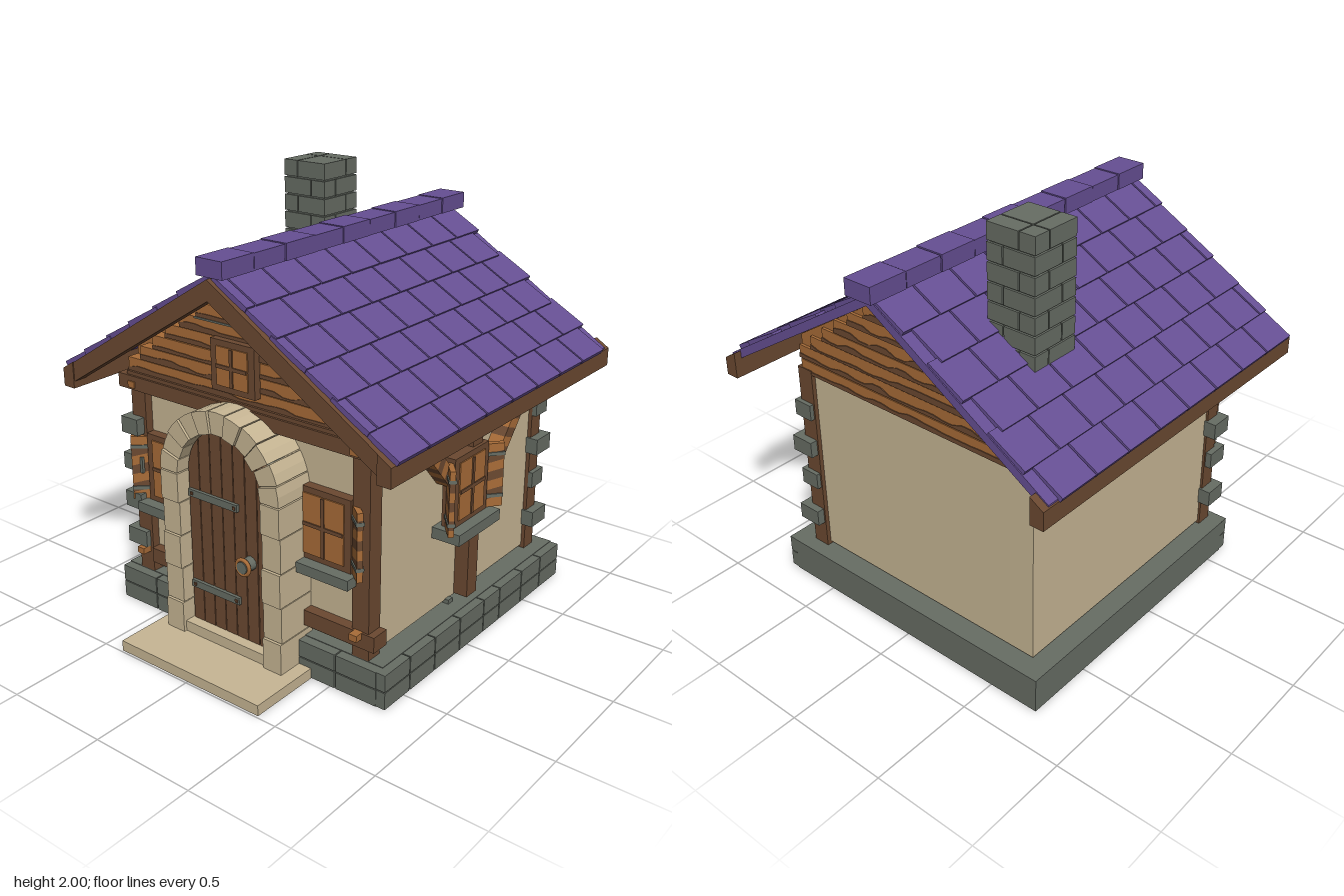
import * as THREE from 'three';

const mat = (name, color, side = THREE.FrontSide) => {
  const m = new THREE.MeshStandardMaterial({ color, side });
  m.name = name;
  return m;
};

export function createModel() {
  const house = new THREE.Group();
  house.name = 'cottage';
  const purple = mat('roofPurple', 0x664f93), beige = mat('plaster', 0xc7b694), brown = mat('darkWood', 0x6b4931);
  const orange = mat('lightWood', 0xa86c38), grey = mat('stone', 0x676d64);

  let seed = 7;
  const rnd = () => (seed = (seed * 16807) % 2147483647) / 2147483647;

  const group = (parent, name) => {
    const g = new THREE.Group();
    g.name = name;
    parent.add(g);
    return g;
  };
  const add = (parent, name, geo, m) => {
    const mesh = new THREE.Mesh(geo, m);
    mesh.name = name;
    parent.add(mesh);
    return mesh;
  };
  // box given by its extents along each axis
  const box = (parent, name, m, x0, x1, y0, y1, z0, z1) => {
    const mesh = add(parent, name, new THREE.BoxGeometry(x1 - x0, y1 - y0, z1 - z0), m);
    mesh.position.set((x0 + x1) / 2, (y0 + y1) / 2, (z0 + z1) / 2);
    return mesh;
  };
  // polygon in x/y extruded between two z values
  const prism = (parent, name, m, pts, z0, z1) => {
    const shape = new THREE.Shape(pts.map(p => new THREE.Vector2(...p)));
    const mesh = add(parent, name, new THREE.ExtrudeGeometry(shape, { depth: z1 - z0, bevelEnabled: false }), m);
    mesh.position.z = z0;
    return mesh;
  };
  // board of alternating slanted light and dark bands, centred, running along y
  const bandedBoard = (parent, name, w, len, d, bands) => {
    const g = group(parent, name), h = len / bands, k = h * 0.25;
    for (let i = 0; i < bands; i++) {
      const a = -len / 2 + i * h, b = a + h, lo = i ? k : 0, hi = i < bands - 1 ? k : 0;
      prism(g, 'band', i % 2 ? brown : orange,
        [[-w / 2, a - lo], [w / 2, a + lo], [w / 2, b + hi], [-w / 2, b - hi]], -d / 2, d / 2);
    }
    return g;
  };

  // foundation, with two rows of blocks on the front and right side
  box(house, 'foundation', grey, -0.75, 0.745, 0.003, 0.17, -0.83, 0.6);
  for (let r = 0; r < 2; r++) {
    const y0 = 0.004 + r * 0.084, y1 = y0 + 0.079;
    const fx = [-0.75, -0.53, -0.33, -0.1, 0.12, 0.33, 0.53, 0.745];
    const sz = [0.645, 0.46, 0.27, 0.07, -0.13, -0.27, -0.47, -0.65, -0.83];
    for (let i = 0; i < 7; i++) box(house, 'foundationBlock', grey, fx[i] + 0.003, fx[i + 1] - 0.003, y0, y1, 0.59, 0.645);
    for (let i = 0; i < 8; i++) box(house, 'foundationBlock', grey, 0.735, 0.787, y0, y1, sz[i + 1] + 0.003, sz[i] - 0.003);
  }
  box(house, 'doorStep', beige, -0.4, 0.4, 0, 0.05, 0.6, 0.99);

  // walls and gable
  box(house, 'walls', beige, -0.66, 0.66, 0.185, 1.12, -0.74, 0.56);
  prism(house, 'gable', orange, [[-0.655, 1.1], [0.655, 1.1], [0.655, 1.28], [0, 1.69], [-0.655, 1.28]], -0.742, 0.56);

  // gable planks with ragged dark grain along the lower edges
  const rows = [[1.17, 0.66], [1.236, 0.58], [1.302, 0.5], [1.37, 0.42], [1.435, 0.33], [1.5, 0.23], [1.57, 0.13]];
  const plankRow = (parent, y, w, h) => {
    box(parent, 'gablePlank', orange, -w, w, y, y + h, -0.03, 0.03);
    const n = Math.max(4, Math.round(w * 20)), pts = [[-w, y], [w, y]];
    for (let i = n; i >= 0; i--) {
      const x = -w + 2 * w * i / n, t = y + 0.008 + rnd() * 0.024;
      pts.push([x, t], [Math.max(-w, x - w / n), t]);
    }
    prism(parent, 'plankGrain', brown, pts, 0.029, 0.034);
  };
  const frontGable = group(house, 'frontGable');
  frontGable.position.z = 0.585;
  rows.forEach(([y, w]) => plankRow(frontGable, y, w, 0.062));
  box(frontGable, 'gableStrip', grey, -0.24, 0.24, 1.49, 1.498, -0.02, 0.034);
  const backGable = group(house, 'backGable');
  backGable.position.z = -0.725;
  backGable.rotation.y = Math.PI;
  plankRow(backGable, 1.1, 0.655, 0.062);
  rows.forEach(([y, w]) => plankRow(backGable, y, w, 0.062));

  // timber frame
  for (const [x, z] of [[-0.628, 0.56], [0.628, 0.56], [0.635, -0.72]])
    box(house, 'cornerPost', brown, x - 0.043, x + 0.043, 0.17, 1.12, z - 0.04, z + 0.04);
  box(house, 'frontTopBeam', brown, -0.705, 0.705, 1.09, 1.155, 0.53, 0.64);
  box(house, 'frontTopBoard', brown, -0.66, 0.66, 1.15, 1.172, 0.53, 0.63);
  for (const s of [-1, 1]) {
    const a = s * 0.3, b = s > 0 ? 0.705 : -0.58;
    box(house, 'frontLowBeam', brown, Math.min(a, b), Math.max(a, b), 0.225, 0.298, 0.52, 0.61);
    for (const y of [0.29, 1.12]) box(house, 'peg', orange, s * 0.622 - 0.02, s * 0.622 + 0.02, y - 0.02, y + 0.01, 0.59, 0.646);
  }
  box(house, 'sidePost', brown, 0.64, 0.73, 0.19, 1.12, -0.148, -0.068);
  box(house, 'smallFooting', grey, 0.62, 0.68, 0.16, 0.19, -0.03, 0.005);
  const brace = (z0, y0, z1, y1) => {
    const b = bandedBoard(house, 'sideBrace', 0.065, Math.hypot(z1 - z0, y1 - y0), 0.07, 9);
    b.position.set(0.695, (y0 + y1) / 2, (z0 + z1) / 2);
    b.rotation.set(0, Math.PI / 2, Math.atan2(z1 - z0, y1 - y0), 'YXZ');
  };
  brace(0.08, 0.82, 0.33, 1.1);
  brace(-0.28, 0.77, -0.55, 1.09);

  // corner stones on the front left and back right posts
  [0.3, 0.5, 0.68, 0.87].forEach((y, i) => {
    const o = i % 2 ? 0 : 0.02;
    box(house, 'cornerStone', grey, -0.7 - o, -0.6, y, y + 0.078, 0.53 - o, 0.645 - o);
    box(house, 'cornerStone', grey, 0.6, 0.7 + o, y, y + 0.078, -0.78 - o * 0.8, -0.68 + o * 0.5);
  });

  // windows: frame, panes, glazing bars, sill, shutters
  const windowUnit = (name, w, h, sides) => {
    const g = group(house, name), pw = w / 2 - 0.037, ph = h / 2 - 0.03;
    box(g, 'windowFrame', brown, -w / 2, w / 2, -h / 2, h / 2, -0.03, 0.03);
    for (const sx of [-1, 1]) for (const sy of [-1, 1]) {
      const x = sx * (pw / 2 + 0.003), y = sy * (ph / 2 + 0.003);
      box(g, 'pane', orange, x - pw / 2, x + pw / 2, y - ph / 2, y + ph / 2, 0.025, 0.036);
    }
    box(g, 'glazingBar', brown, -0.008, 0.008, -ph, ph, 0.03, 0.042);
    box(g, 'glazingBar', brown, -pw, pw, -0.008, 0.008, 0.03, 0.042);
    for (const s of sides) {
      const hinge = group(g, 'shutter');
      hinge.position.set(s * (w / 2 - 0.005), -0.01, 0);
      hinge.rotation.y = -s * 0.7;
      const board = bandedBoard(hinge, 'shutterBoard', 0.1, h - 0.02, 0.025, 7);
      board.position.x = s * 0.05;
      for (const y of [-0.3, 0.32])
        box(hinge, 'shutterStrap', grey, s * 0.05 - 0.052, s * 0.05 + 0.052, y * h - 0.008, y * h + 0.008, -0.018, 0.018);
    }
    return g;
  };
  for (const s of [-1, 1]) {
    windowUnit('frontWindow', 0.28, 0.33, [s]).position.set(s * 0.44, 0.715, 0.575);
    box(house, 'frontSill', grey, s * 0.455 - 0.15, s * 0.455 + 0.15, 0.503, 0.55, 0.55, 0.66);
  }
  const sideWindow = windowUnit('sideWindow', 0.27, 0.325, [-1, 1]);
  sideWindow.position.set(0.715, 0.765, -0.04);
  sideWindow.rotation.y = Math.PI / 2;
  box(house, 'sideSill', grey, 0.64, 0.8, 0.55, 0.602, -0.205, 0.13);
  windowUnit('gableWindow', 0.24, 0.225, []).position.set(0, 1.325, 0.62);

  // stone door arch
  const arch = group(house, 'doorArch'), cy = 0.83, R = 0.335, r = 0.235;
  const jamb = [0.05, 0.2, 0.37, 0.53, 0.69, 0.83];
  for (const s of [-1, 1]) for (let i = 0; i < 5; i++) {
    const x = s * (R + r) / 2;
    box(arch, 'jambStone', beige, x - 0.05, x + 0.05, jamb[i], jamb[i + 1] - 0.004, 0.55, 0.765 - (i % 2) * 0.008);
  }
  for (let i = 0; i < 11; i++) {
    const a = i * Math.PI / 11 + 0.008, b = (i + 1) * Math.PI / 11 - 0.008, pts = [];
    for (const [rad, t] of [[r, b], [r, a], [R, a], [R, (a + b) / 2], [R, b]])
      pts.push([rad * Math.cos(t), cy + rad * Math.sin(t)]);
    prism(arch, 'archStone', beige, pts, 0.55, 0.765 - (i % 2) * 0.008);
  }
  box(arch, 'threshold', beige, -r, r, 0.05, 0.1, 0.55, 0.75);

  // door planks cut to the arch over a dark backing
  const door = group(house, 'door');
  const backing = new THREE.Shape().moveTo(-r, 0.1).lineTo(r, 0.1).lineTo(r, cy).absarc(0, cy, r, 0, Math.PI, false);
  add(door, 'doorBacking', new THREE.ExtrudeGeometry(backing, { depth: 0.12, bevelEnabled: false }), grey).position.z = 0.55;
  for (let i = 0; i < 7; i++) {
    const a = -0.228 + i * 0.0652, b = a + 0.061, top = x => cy + Math.sqrt(Math.max(0, 0.23 ** 2 - x * x));
    const pts = [[a, 0.1], [b, 0.1]];
    for (let k = 4; k >= 0; k--) pts.push([a + (b - a) * k / 4, top(a + (b - a) * k / 4)]);
    prism(door, 'doorPlank', brown, pts, 0.66, 0.7);
  }
  for (const y of [0.73, 0.285]) {
    box(door, 'doorStrap', grey, -0.22, 0.06, y - 0.017, y + 0.017, 0.69, 0.715);
    for (const x of [-0.2, 0.045]) box(door, 'strapNail', brown, x - 0.007, x + 0.007, y - 0.007, y + 0.007, 0.71, 0.72);
  }
  add(door, 'doorRing', new THREE.TorusGeometry(0.035, 0.009, 8, 20), orange).position.set(0.12, 0.49, 0.75);
  const knob = add(door, 'doorKnob', new THREE.CylinderGeometry(0.028, 0.032, 0.06, 12), grey);
  knob.rotation.x = Math.PI / 2;
  knob.position.set(0.12, 0.49, 0.73);

  // roof: base slab, front barge boards, eave beams
  const slope = 0.622, ang = Math.atan(slope);
  const chevron = (x, top, th) => [[-x, top - x * slope], [-x, top - x * slope - th], [0, top - th],
    [x, top - x * slope - th], [x, top - x * slope], [0, top]];
  prism(house, 'roofSlab', purple, chevron(0.895, 1.742, 0.045), -0.94, 0.73);
  prism(house, 'bargeBoards', brown, chevron(0.88, 1.732, 0.09), 0.725, 0.785);
  for (const s of [-1, 1])
    prism(house, 'eaveBeam', brown, [[0.835, 1.09], [0.9, 1.09], [0.9, 1.175], [0.835, 1.215]].map(([x, y]) => [s * x, y])
      .slice()[s > 0 ? 'slice' : 'reverse'](), -0.975, 0.79);

  // overlapping shingle courses, alternate courses shifted along the ridge
  for (const s of [-1, 1]) {
    const side = group(house, s > 0 ? 'leftShingles' : 'rightShingles');
    side.position.y = 1.745;
    side.rotation.z = -s * ang;
    for (let i = 0; i < 6; i++) {
      const odd = i % 2, zMin = odd ? -0.89 : -0.94, zMax = odd ? 0.715 : 0.77, cuts = [zMin];
      for (let k = 0; k < 8; k++) cuts.push((odd ? -0.68 : -0.735) + k * 0.2065);
      cuts.push(zMax);
      const u0 = 0.015 + i * 0.174, u1 = Math.min(u0 + 0.2, 1.07);
      for (let k = 0; k < cuts.length - 1; k++) {
        if (cuts[k + 1] - cuts[k] < 0.03) continue;
        const t = box(side, 'shingle', purple, s > 0 ? u0 : -u1, s > 0 ? u1 : -u0, -0.012, 0.012,
          cuts[k] + 0.005, cuts[k + 1] - 0.005);
        t.rotation.z = s * 0.05;
      }
    }
  }

  // ridge caps
  for (let i = 0; i < 9; i++) {
    const z1 = 0.77 - i * 0.195, d = (i % 2) * 0.003;
    box(house, 'ridgeCap', purple, -0.07 + d, 0.07 - d, 1.735, 1.81 - d, z1 - 0.19, z1);
  }

  // chimney: core and brick courses with staggered joints
  box(house, 'chimneyCore', grey, -0.51, -0.29, 1.35, 1.99, -0.555, -0.325);
  for (let i = 0; i < 8; i++) {
    const y1 = 2 - i * 0.0835, y0 = y1 - 0.076, j = i % 2 ? -0.36 : -0.44, k = i % 2 ? -0.4 : -0.48;
    for (const [x0, x1] of [[-0.52, j - 0.003], [j + 0.003, -0.28]])
      for (const [z0, z1] of [[-0.565, k - 0.003], [k + 0.003, -0.315]])
        box(house, 'chimneyBrick', grey, x0, x1, y0, y1, z0, z1);
  }
  return house;
}
